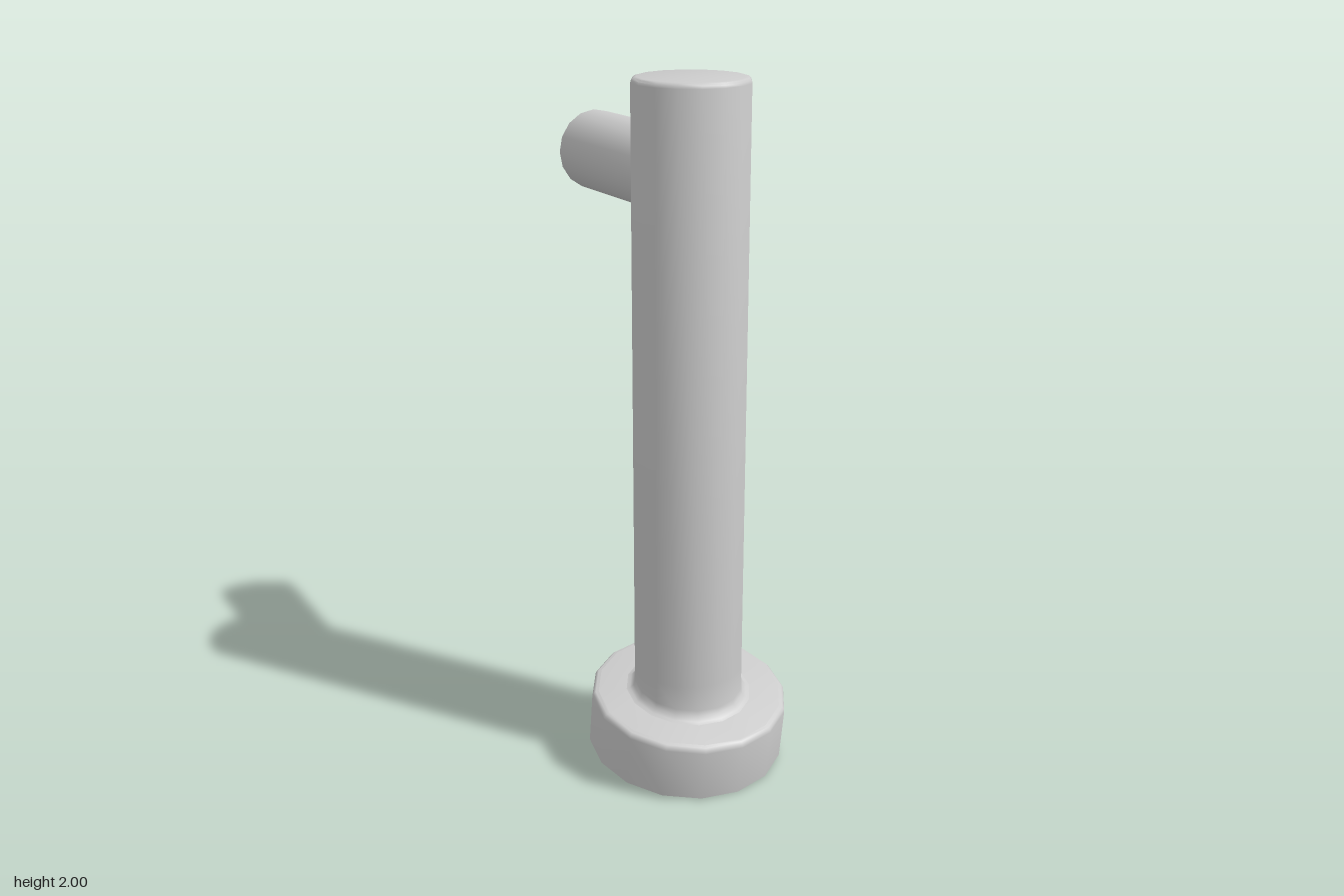
import * as THREE from 'three';
import { toCreasedNormals } from 'three/addons/utils/BufferGeometryUtils.js';

const SIDES = 16;
const TILT = 0.13;
const material = new THREE.MeshStandardMaterial({ color: 0xcccccc });

// Quarter-round profile points about (cx, cy), from angle a to angle b
function arc(cx, cy, r, a, b, steps = 3) {
  return Array.from({ length: steps + 1 }, (_, i) => {
    const t = a + ((b - a) * i) / steps;
    return [cx + r * Math.cos(t), cy + r * Math.sin(t)];
  });
}

function lathe(profile) {
  return new THREE.LatheGeometry(profile.map(([x, y]) => new THREE.Vector2(x, y)), SIDES);
}

function part(name, geometry) {
  const mesh = new THREE.Mesh(toCreasedNormals(geometry, 0.75), material);
  mesh.name = name;
  return mesh;
}

export function createModel() {
  const group = new THREE.Group();
  const quarter = Math.PI / 2;

  // Tilted round foot with a softened upper rim
  const foot = part('foot', lathe([
    [0, 0], [0.29, 0],
    ...arc(0.272, 0.158, 0.018, 0, quarter),
    [0, 0.176],
  ]));
  foot.rotation.x = TILT;
  foot.position.set(0, 0.038, 0.103);
  group.add(foot);

  // Upright post: flared fillet at the bottom, bevelled rim at the top
  const postGeometry = lathe([
    ...arc(0.19, 0.242, 0.03, -quarter, -Math.PI),
    [0.16, 0.3],
    ...arc(0.145, 1.985, 0.015, 0, quarter),
    [0, 2],
  ]);
  // Shear the lower rings so the fillet follows the tilted foot
  const p = postGeometry.attributes.position;
  for (let i = 0; i < p.count; i++) {
    if (p.getY(i) < 0.28) p.setY(i, p.getY(i) - Math.tan(TILT) * p.getZ(i));
  }
  const post = part('post', postGeometry);
  post.position.z = 0.12;
  group.add(post);

  // Horizontal arm running out of the back of the post
  const armGeometry = new THREE.CylinderGeometry(0.114, 0.114, 0.505, SIDES);
  armGeometry.rotateX(quarter);
  const arm = part('arm', armGeometry);
  arm.position.set(0, 1.74, -0.1525);
  group.add(arm);

  return group;
}
